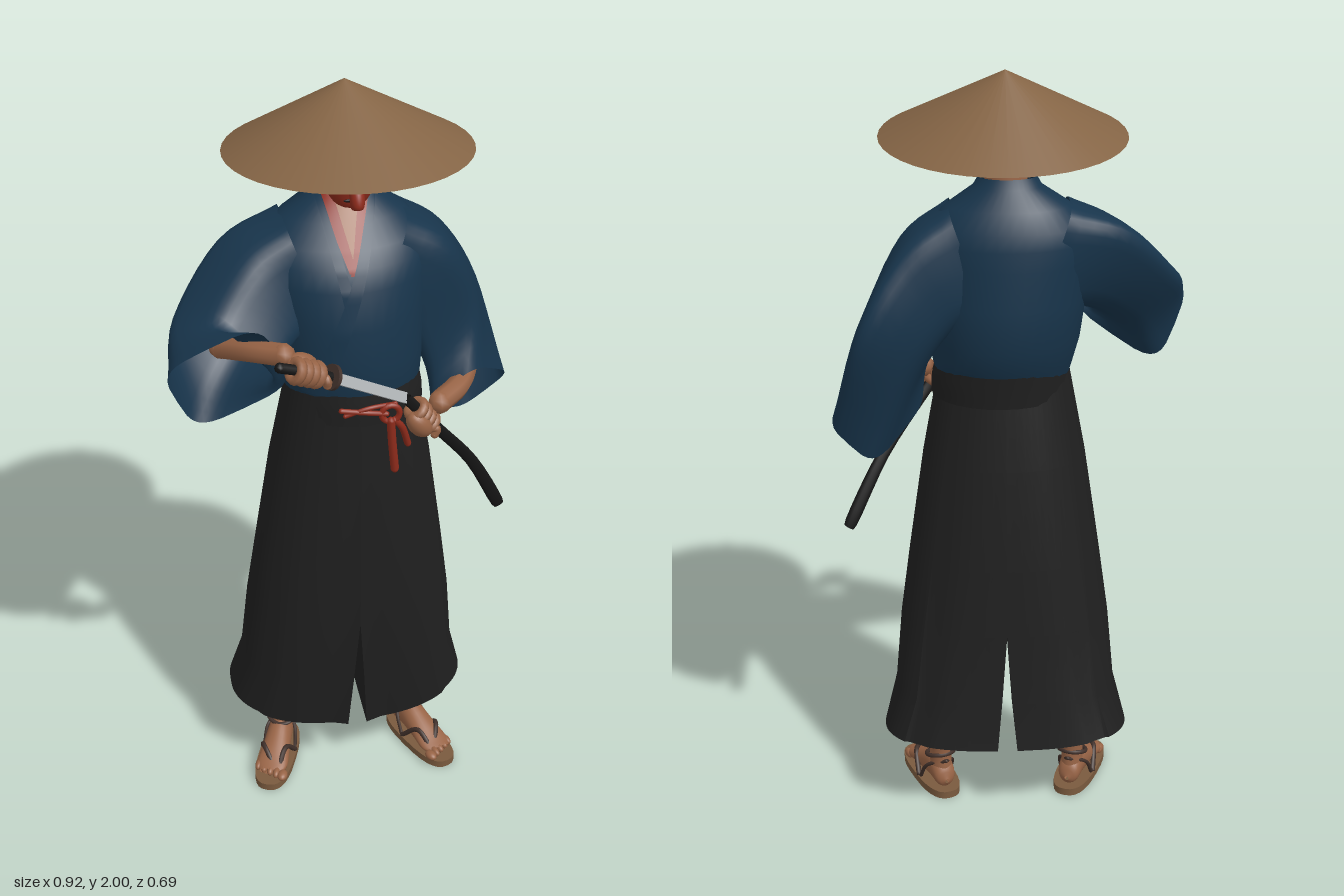
import * as THREE from 'three';
import { toCreasedNormals } from 'three/addons/utils/BufferGeometryUtils.js';

const V = (x, y, z) => new THREE.Vector3(x, y, z);

export function createModel() {
  const model = new THREE.Group();
  const mats = {};
  const colours = {
    indigoCloth: 0x18354c, blackCloth: 0x1f1f1f, straw: 0x846445, skin: 0x986446, redLacquer: 0x8e2b1b,
    hair: 0x161616, steel: 0xb0b4b6, wood: 0x7a5a3e, darkCord: 0x40302a,
  };
  for (const [name, color] of Object.entries(colours)) {
    mats[name] = new THREE.MeshStandardMaterial({ color, side: THREE.DoubleSide });
    mats[name].name = name;
  }
  const { indigoCloth, blackCloth, straw, skin, redLacquer, hair, steel, wood, darkCord } = mats;

  const add = (name, geo, mat, parent = model) => {
    const m = new THREE.Mesh(geo, mat);
    m.name = name;
    parent.add(m);
    return m;
  };
  // grid of rows of points -> smooth surface with sharp creases
  // (creased at a larger scale, so that close points are not merged)
  const skinRows = (rows, wrap, crease = 0.7) => {
    const n = rows[0].length, pos = rows.flat().flatMap(p => [p.x, p.y, p.z]), idx = [];
    for (let i = 0; i < rows.length - 1; i++) for (let j = 0; j < (wrap ? n : n - 1); j++) {
      const k = (j + 1) % n, a = i * n + j, b = i * n + k, c = a + n, d = b + n;
      idx.push(a, b, c, b, d, c);
    }
    const g = new THREE.BufferGeometry();
    g.setAttribute('position', new THREE.Float32BufferAttribute(pos, 3));
    g.setIndex(idx);
    return toCreasedNormals(g.scale(100, 100, 100), crease).scale(0.01, 0.01, 0.01);
  };
  // ring = [centre, half axis a, half axis b]; p < 1 makes the section squarer
  const loft = (rings, steps = 5, p = 1, n = 28, crease = 1) => {
    const curves = [0, 1, 2].map(k => new THREE.CatmullRomCurve3(
      rings.map(r => V(...r.slice(k * 3, k * 3 + 3))), false, 'catmullrom'));
    const total = (rings.length - 1) * steps, rows = [];
    const pw = v => Math.sign(v) * Math.abs(v) ** p;
    for (let i = 0; i <= total; i++) {
      const [c, a, b] = curves.map(q => q.getPoint(i / total));
      rows.push(Array.from({ length: n }, (_, j) => {
        const t = (j / n) * Math.PI * 2;
        return c.clone().addScaledVector(a, pw(Math.cos(t))).addScaledVector(b, pw(Math.sin(t)));
      }));
    }
    return skinRows(rows, true, crease);
  };
  // round rod along a smooth path, with round ends
  const rod = (name, pts, r, mat, parent = model) => {
    const v = pts.map(p => V(...p));
    add(name, new THREE.TubeGeometry(new THREE.CatmullRomCurve3(v), 12, r, 8), mat, parent);
    for (const e of [v[0], v[v.length - 1]])
      add(name + 'End', new THREE.SphereGeometry(r, 8, 6), mat, parent).position.copy(e);
  };
  const ball = (name, c, s, mat, parent = model) => {
    const m = add(name, new THREE.SphereGeometry(1, 20, 14), mat, parent);
    m.position.set(...c);
    m.scale.set(...s);
    return m;
  };
  const align = (o, p, q, t = 0.5) => {
    const a = V(...p), b = V(...q);
    o.position.lerpVectors(a, b, t);
    o.quaternion.setFromUnitVectors(V(0, 1, 0), b.sub(a).normalize());
    return o;
  };

  // straw hat, slightly tilted
  add('strawHat', loft([
    [0.01, 2.0, -0.057, 0.001, 0, 0, 0, 0, 0.001],
    [0.014, 1.836, -0.031, 0.305, 0, 0, 0, 0.024, 0.313],
    [0.01, 1.975, -0.057, 0.001, 0, 0, 0, 0, 0.001]], 1, 1, 40), straw);

  // head, hair and ears
  ball('head', [0.01, 1.81, -0.03], [0.078, 0.108, 0.08], skin);
  const curls = new THREE.IcosahedronGeometry(1, 8), cp = curls.attributes.position;
  for (let i = 0; i < cp.count; i++) {
    const v = V().fromBufferAttribute(cp, i);
    v.multiplyScalar(1 + 0.05 * Math.sin(v.x * 13) * Math.sin(v.y * 15) * Math.cos(v.z * 14));
    cp.setXYZ(i, v.x, v.y, v.z);
  }
  curls.computeVertexNormals();
  const curlyHair = add('curlyHair', curls, hair);
  curlyHair.position.set(0.01, 1.833, -0.04);
  curlyHair.scale.set(0.106, 0.102, 0.077);
  add('neck', loft([[0.01, 1.78, -0.045, 0.052, 0, 0, 0, 0, 0.052], [0.008, 1.7, -0.045, 0.056, 0, 0, 0, 0, 0.056],
    [0.005, 1.6, -0.04, 0.08, 0, 0, 0, 0, 0.07]], 4), skin);
  for (const s of [-1, 1]) ball('ear', [0.01 + s * 0.084, 1.768, -0.02], [0.01, 0.022, 0.013], skin);

  // long-nosed mask, narrow at the chin
  add('mask', loft([[0.01, 1.707, 0.022, 0.004, 0, 0, 0, 0, 0.008], [0.01, 1.715, 0.012, 0.036, 0, 0, 0, 0, 0.034],
    [0.01, 1.75, 0.004, 0.06, 0, 0, 0, 0, 0.052], [0.01, 1.8, -0.002, 0.078, 0, 0, 0, 0, 0.066],
    [0.01, 1.86, -0.008, 0.08, 0, 0, 0, 0, 0.068], [0.01, 1.88, -0.012, 0.06, 0, 0, 0, 0, 0.05]], 4), redLacquer);
  add('maskNose', loft([[0.01, 1.83, 0.045, 0.012, 0, 0, 0, 0.004, 0.016], [0.01, 1.805, 0.068, 0.016, 0, 0, 0, 0.012, 0.014],
    [0.01, 1.765, 0.098, 0.018, 0, 0, 0, 0.012, 0.016], [0.01, 1.738, 0.103, 0.015, 0, 0, 0, 0.006, 0.02],
    [0.01, 1.733, 0.102, 0.002, 0, 0, 0, 0, 0.002]], 4), redLacquer);
  for (const s of [-1, 1]) {
    const x = u => 0.01 + s * u;
    rod('brow', [[x(0.014), 1.834, 0.058], [x(0.04), 1.848, 0.052], [x(0.066), 1.855, 0.034]], 0.01, hair);
    ball('eye', [x(0.036), 1.82, 0.053], [0.019, 0.007, 0.005], hair).rotation.y = s * 0.5;
  }
  ball('mouth', [0.01, 1.735, 0.052], [0.024, 0.005, 0.004], hair);

  // jacket body: y, centre x, half width, front z, back z
  const body = [[1.2, 0.015, 0.165, 0.14, -0.13], [1.25, 0.015, 0.178, 0.154, -0.155], [1.32, 0.01, 0.19, 0.16, -0.185],
    [1.43, 0.005, 0.2, 0.158, -0.19], [1.53, 0, 0.212, 0.14, -0.18], [1.58, 0, 0.22, 0.118, -0.178],
    [1.62, 0, 0.208, 0.09, -0.17], [1.67, 0.002, 0.155, 0.045, -0.15], [1.72, 0.005, 0.085, 0.004, -0.125],
    [1.745, 0.005, 0.072, -0.022, -0.115]];
  add('jacketBody', loft(body.map(([y, cx, w, f, b]) => [cx, y, (f + b) / 2, w, 0, 0, 0, 0, (f - b) / 2]), 1, 1, 40), indigoCloth);
  const frontZ = (x, y) => {
    let i = 0;
    while (i < body.length - 2 && body[i + 1][0] < y) i++;
    const t = (y - body[i][0]) / (body[i + 1][0] - body[i][0]);
    const [, cx, w, f, b] = body[i].map((v, k) => v + (body[i + 1][k] - v) * t);
    return (f + b) / 2 + (f - b) / 2 * Math.sqrt(Math.max(0, 1 - ((x - cx) / w) ** 2));
  };
  // cloth strip laid on the chest between two rows [y, xLeft, xRight]
  const drape = (name, [y0, l0, r0], [y1, l1, r1], lift, mat) => {
    const mix = THREE.MathUtils.lerp;
    const rows = Array.from({ length: 31 }, (_, i) => Array.from({ length: 7 }, (_, j) => {
      const t = i / 30, y = mix(y0, y1, t), x = mix(mix(l0, l1, t), mix(r0, r1, t), j / 6);
      return V(x, y, frontZ(x, y) + lift);
    }));
    add(name, skinRows(rows, false), mat);
  };
  drape('bareChest', [1.58, 0.0, 0.006], [1.735, -0.045, 0.055], 0.002, skin);
  drape('innerCollar', [1.575, -0.012, 0.006], [1.735, -0.066, -0.03], 0.0032, redLacquer);
  drape('innerCollar', [1.57, -0.01, 0.012], [1.735, 0.036, 0.072], 0.0042, redLacquer);
  drape('lapel', [1.5, -0.03, 0.0], [1.73, -0.074, -0.056], 0.005, indigoCloth);
  drape('lapel', [1.25, -0.13, -0.075], [1.73, 0.062, 0.082], 0.006, indigoCloth);

  // wide square sleeves, open at the mouth
  add('leftSleeve', loft([
    [0.1, 1.53, -0.04, 0.05, 0.14, 0, 0, 0, 0.11], [0.2, 1.475, -0.055, 0.07, 0.105, -0.01, 0, 0, 0.115],
    [0.29, 1.32, -0.078, 0.08, 0.07, -0.03, -0.02, 0, 0.11],
    [0.335, 1.128, -0.03, 0.063, 0.058, 0.012, -0.073, 0.064, 0.085]], 5, 0.5), indigoCloth);
  add('rightSleeve', loft([
    [-0.1, 1.53, -0.04, -0.05, 0.14, 0, 0, 0, 0.11], [-0.22, 1.5, 0.015, -0.06, 0.11, -0.02, 0.035, 0, 0.095],
    [-0.322, 1.4, 0.11, -0.072, 0.078, -0.02, 0.06, 0.02, 0.07],
    [-0.325, 1.358, 0.186, -0.045, 0.105, 0.03, 0.118, 0.075, 0.038]], 5, 0.5), indigoCloth);

  // forearms and gripping hands; a hand's local y runs along the thing it holds
  rod('leftForearm', [[0.34, 1.22, -0.06], [0.29, 1.195, 0.05], [0.22, 1.188, 0.12]], 0.03, skin);
  rod('rightForearm', [[-0.33, 1.41, 0.12], [-0.265, 1.44, 0.205], [-0.2, 1.455, 0.265]], 0.029, skin);
  const hand = (name, p, q, t, palm) => {
    const g = align(new THREE.Group(), p, q, t);
    g.name = name;
    model.add(g);
    for (let i = 0; i < 4; i++) {
      const f = add('finger', new THREE.TorusGeometry(0.023, 0.0125, 8, 18), skin, g);
      f.rotation.x = Math.PI / 2;
      f.position.y = (i - 1.5) * 0.021;
    }
    ball('palm', palm, [0.028, 0.045, 0.03], skin, g);
    rod('thumb', [[palm[0], 0.02, palm[2]], [0.01, 0.045, 0.026], [0.022, 0.055, 0.018]], 0.011, skin, g);
  };
  const butt = [-0.22, 1.458, 0.328], guard = [-0.085, 1.385, 0.272], mouth = [0.125, 1.232, 0.155];
  hand('rightHand', butt, guard, 0.5, [-0.02, 0, -0.02]);
  hand('leftHand', mouth, [0.21, 1.11, 0.12], 0.55, [0.026, 0, 0.004]);

  // sword and flat, curved scabbard
  rod('swordHilt', [butt, [-0.152, 1.425, 0.302], guard], 0.013, hair);
  align(add('swordGuard', new THREE.CylinderGeometry(0.032, 0.032, 0.01, 20), darkCord), butt, guard, 1);
  const bladeLength = V(...guard).distanceTo(V(...mouth));
  align(add('blade', new THREE.BoxGeometry(0.028, bladeLength, 0.006), steel), guard, mouth);
  const scabbardPath = [[0.125, 1.232, 0.155, 0.014], [0.215, 1.115, 0.125, 0.015], [0.325, 0.965, 0.065, 0.016],
    [0.415, 0.79, 0.014, 0.017], [0.415, 0.79, 0.014, 0.0005]];
  add('scabbard', loft(scabbardPath.map(([x, y, z, r]) => [x, y, z, r * 0.85, r * 0.52, 0, 0, 0, r * 0.6]), 4, 0.8, 20), hair);

  // pleated wide trousers, fuller at the back: y, inner x, outer x, front z, back z
  const legRows = [[1.24, 0, 0.165, 0.148, -0.13], [1.0, 0, 0.21, 0.16, -0.16], [0.73, 0, 0.25, 0.163, -0.178],
    [0.55, 0, 0.275, 0.16, -0.19], [0.36, 0.014, 0.292, 0.148, -0.203], [0.2, 0.026, 0.325, 0.128, -0.218]];
  for (const s of [-1, 1]) {
    const N = 72;
    const rows = legRows.map(([y, xi, xo, f, b], i) => Array.from({ length: N }, (_, j) => {
      const a = (j / N) * Math.PI * 2, c = Math.max(0, Math.cos(a)), si = Math.sin(a);
      const t = i / (legRows.length - 1), back = si < 0 ? t : 0;
      const fold = 1 - 0.06 * t * (((j + 18) % 9) / 8);
      const z = (f + b) / 2 + (f - b) / 2 * Math.sign(si) * Math.abs(si) ** (1 - 0.3 * back) * (si < -0.9 ? 1 : fold);
      const hem = i === legRows.length - 1 ? -z * 0.13 + 0.028 * c : 0;
      return V(0.012 + s * (xi + (xo - xi) * c ** (0.9 - 0.1 * t - 0.25 * back)), y + hem - 0.01 * t, z);
    }));
    add(s > 0 ? 'leftTrouserLeg' : 'rightTrouserLeg', skinRows(rows, true, 0.4), blackCloth);
  }
  add('waistBelt', loft([[0.02, 1.165, 0.006, 0.178, 0, 0, 0, 0, 0.155], [0.02, 1.21, 0.004, 0.176, 0, 0, 0, 0, 0.157],
    [0.018, 1.25, 0, 0.17, 0, 0, 0, 0, 0.157]], 3), blackCloth);

  // red cord with ring knot and hanging ends
  rod('beltCord', [[-0.04, 1.215, 0.158], [0.02, 1.208, 0.166], [0.075, 1.195, 0.16]], 0.007, redLacquer);
  rod('beltCord', [[-0.03, 1.2, 0.16], [0.03, 1.22, 0.166], [0.1, 1.215, 0.148]], 0.006, redLacquer);
  add('cordKnot', new THREE.TorusGeometry(0.023, 0.008, 8, 20), redLacquer).position.set(0.085, 1.195, 0.16);
  rod('cordEnd', [[0.085, 1.175, 0.164], [0.09, 1.11, 0.162], [0.098, 1.03, 0.16]], 0.011, redLacquer);
  rod('cordEnd', [[0.095, 1.175, 0.16], [0.115, 1.15, 0.155], [0.135, 1.09, 0.142]], 0.009, redLacquer);

  // feet in straw sandals, toes turned out
  for (const s of [-1, 1]) {
    const g = new THREE.Group();
    g.name = s > 0 ? 'leftFoot' : 'rightFoot';
    g.position.set(0.008 + s * 0.207, 0, 0.032);
    g.rotation.y = s * 0.38;
    model.add(g);
    add('sandalSole', loft([[0, 0, 0, 0.001, 0, 0, 0, 0, 0.001], [0, 0, 0, 0.052, 0, 0, 0, 0, 0.138],
      [0, 0.02, 0, 0.052, 0, 0, 0, 0, 0.138], [0, 0.02, 0, 0.001, 0, 0, 0, 0, 0.001]], 1, 0.75), wood, g);
    add('foot', loft([[0, 0.04, -0.115, 0.006, 0, 0, 0, 0.006, 0], [0, 0.05, -0.1, 0.028, 0, 0, 0, 0.032, 0],
      [0, 0.064, -0.055, 0.033, 0, 0, 0, 0.046, 0], [0, 0.052, 0.01, 0.038, 0, 0, 0, 0.034, 0],
      [0, 0.038, 0.07, 0.043, 0, 0, 0, 0.018, 0], [0, 0.034, 0.1, 0.03, 0, 0, 0, 0.01, 0]], 4), skin, g);
    add('ankle', loft([[0, 0.06, -0.068, 0.03, 0, 0, 0, 0, 0.038], [0, 0.12, -0.07, 0.029, 0, 0, 0, 0, 0.034],
      [0, 0.24, -0.08, 0.038, 0, 0, 0, 0, 0.044], [0, 0.42, -0.08, 0.05, 0, 0, 0, 0, 0.055]], 4), skin, g);
    for (let i = 0; i < 5; i++)
      ball('toe', [s * (i - 2) * 0.0185, 0.034, 0.108 - i * 0.008], [i ? 0.01 : 0.014, 0.012, 0.02], skin, g);
    for (const e of [-1, 1]) {
      rod('sandalStrap', [[-s * 0.02, 0.025, 0.095], [e * 0.03, 0.07, 0.035], [e * 0.046, 0.022, -0.02]], 0.007, darkCord, g);
      rod('sandalTie', [[e * 0.044, 0.022, -0.03], [e * 0.038, 0.07, -0.06], [0, 0.1, -0.108]], 0.005, darkCord, g);
    }
    const tie = add('ankleTie', new THREE.TorusGeometry(0.037, 0.006, 8, 24), darkCord, g);
    tie.position.set(0, 0.108, -0.066);
    tie.rotation.x = Math.PI / 2 + 0.25;
  }
  return model;
}
